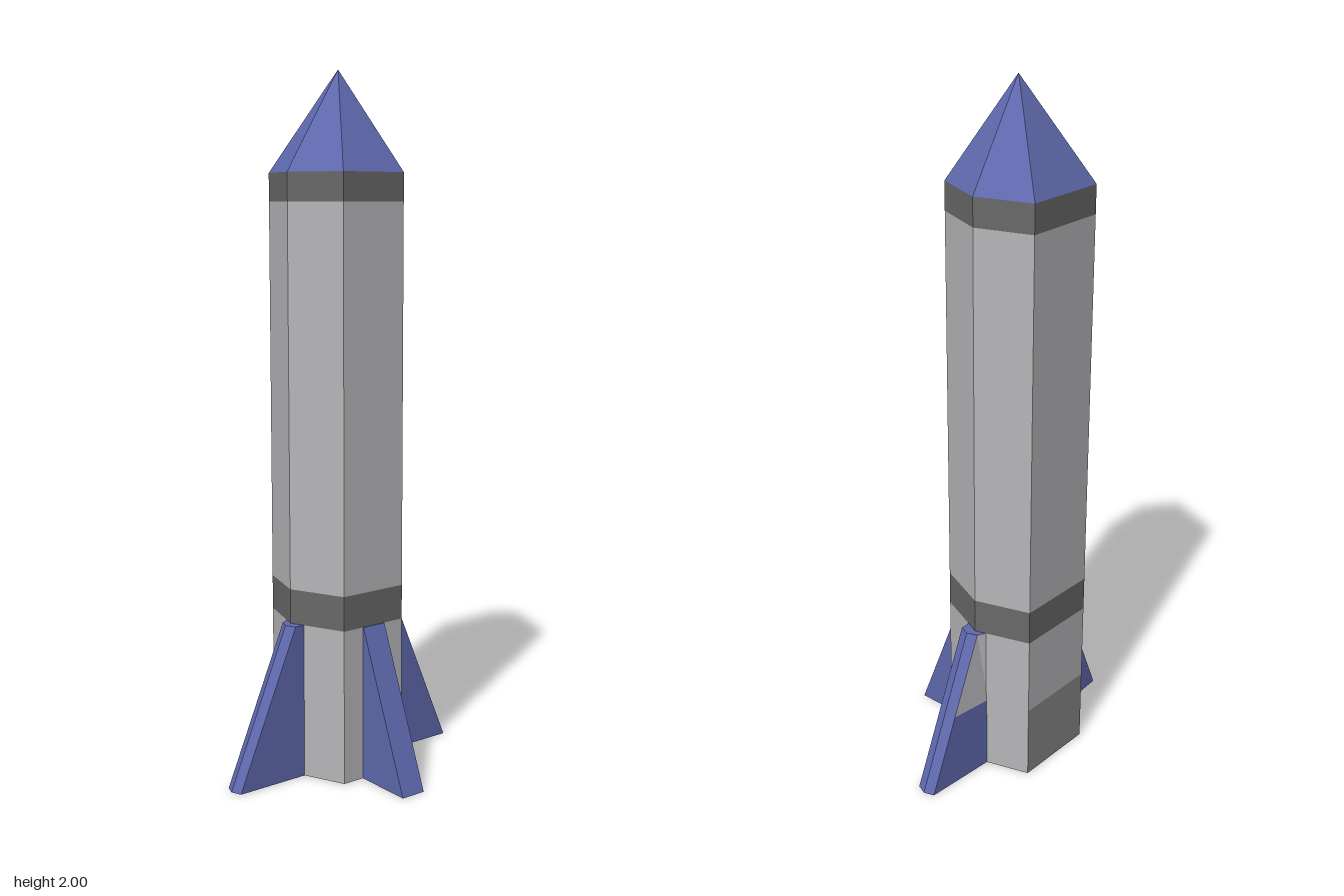
import * as THREE from 'three';

const mat = (name, color) => {
  const m = new THREE.MeshStandardMaterial({ color });
  m.name = name;
  return m;
};

// Flat-faced mesh from convex polygons, each turned to face away from a centre point
function facets(name, polygons, centre, material) {
  const pos = [];
  const c = new THREE.Vector3(...centre);
  for (const poly of polygons) {
    const v = poly.map((p) => new THREE.Vector3(...p));
    for (let i = 1; i < v.length - 1; i++) {
      const tri = [v[0], v[i], v[i + 1]];
      const n = tri[1].clone().sub(tri[0]).cross(tri[2].clone().sub(tri[0]));
      if (n.dot(tri[0].clone().sub(c)) < 0) tri.reverse();
      tri.forEach((p) => pos.push(p.x, p.y, p.z));
    }
  }
  const g = new THREE.BufferGeometry();
  g.setAttribute('position', new THREE.Float32BufferAttribute(pos, 3));
  g.computeVertexNormals();
  const mesh = new THREE.Mesh(g, material);
  mesh.name = name;
  return mesh;
}

// Slightly irregular hexagonal plan of the body, as [x, z]
const HEX = [[-0.25, 0.125], [-0.25, -0.125], [-0.09, -0.175], [0.07, -0.105], [0.07, 0.105], [-0.09, 0.175]];
const at = ([x, z], y) => [x, y, z];

// Side walls between two rings of plan points
const walls = (low, high, y0, y1, closed = true) => {
  const out = [];
  for (let i = 0; i < low.length - (closed ? 0 : 1); i++) {
    const j = (i + 1) % low.length;
    out.push([at(low[i], y0), at(low[j], y0), at(high[j], y1), at(high[i], y1)]);
  }
  return out;
};

export function createModel() {
  const blue = mat('blue', 0x5f69ae);
  const grey = mat('lightGrey', 0xb7b7ba);
  const dark = mat('darkGrey', 0x69696a);
  const shade = mat('midGrey', 0x88888a);
  const root = new THREE.Group();
  root.name = 'rocket';

  // Body: stacked straight segments
  const TOP = 1.72, FIN = 0.45, SPLIT = 0.22;
  const segments = [
    ['tailUpper', SPLIT, FIN, grey],
    ['lowerBand', FIN, 0.55, dark],
    ['fuselage', 0.55, 1.64, grey],
    ['upperBand', 1.64, TOP, dark],
  ];
  for (const [name, y0, y1, m] of segments) {
    root.add(facets(name, walls(HEX, HEX, y0, y1), [-0.09, (y0 + y1) / 2, 0], m));
  }

  // Tail with one darker panel on the finless side
  const tail = walls(HEX, HEX, 0, SPLIT);
  const tailCentre = [-0.09, 0.1, 0];
  root.add(facets('tailPanel', tail.slice(0, 1), tailCentre, shade));
  root.add(facets('tailLower', tail.slice(1), tailCentre, grey));
  root.add(facets('base', [HEX.map((p) => at(p, 0))], tailCentre, blue));

  // Six-sided nose cone
  const tip = [-0.09, 2, 0];
  const nose = HEX.map((p, i) => [at(p, TOP), at(HEX[(i + 1) % 6], TOP), tip]);
  root.add(facets('noseCone', nose, [-0.09, 1.75, 0], blue));

  // Front and back fins, mirrored, with a pointed outer edge
  for (const s of [1, -1]) {
    const low = [[-0.125, 0.16], [-0.11, 0.38], [-0.08, 0.39], [-0.05, 0.378], [-0.05, 0.15]].map(([x, z]) => [x, s * z]);
    const high = [[-0.125, 0.16], [-0.11, 0.188], [-0.08, 0.2], [-0.05, 0.186], [-0.05, 0.15]].map(([x, z]) => [x, s * z]);
    const mid = low.map((p, i) => p.map((v, k) => v + (high[i][k] - v) * (SPLIT / FIN)));
    const centre = [-0.085, 0.18, s * 0.2];
    const fin = new THREE.Group();
    fin.name = s > 0 ? 'frontFin' : 'backFin';
    const bluePolys = [
      ...walls(low, high, 0, FIN, false).slice(1),
      ...walls(low.slice(0, 2), mid.slice(0, 2), 0, SPLIT, false),
      low.map((p) => at(p, 0)),
      high.map((p) => at(p, FIN)),
    ];
    fin.add(facets('finBlade', bluePolys, centre, blue));
    fin.add(facets('finGreySide', walls(mid.slice(0, 2), high.slice(0, 2), SPLIT, FIN, false), centre, grey));
    root.add(fin);
  }

  // Left fin: a plain wedge
  const w = 0.038;
  const profile = [[0.065, 0], [0.25, 0], [0.073, FIN], [0.065, FIN]];
  const side = (z) => profile.map(([x, y]) => [x, y, z]);
  const a = side(w), b = side(-w);
  const edges = profile.map((_, i) => [a[i], a[(i + 1) % 4], b[(i + 1) % 4], b[i]]);
  root.add(facets('leftFin', [a, b, ...edges], [0.11, 0.15, 0], blue));

  return root;
}
